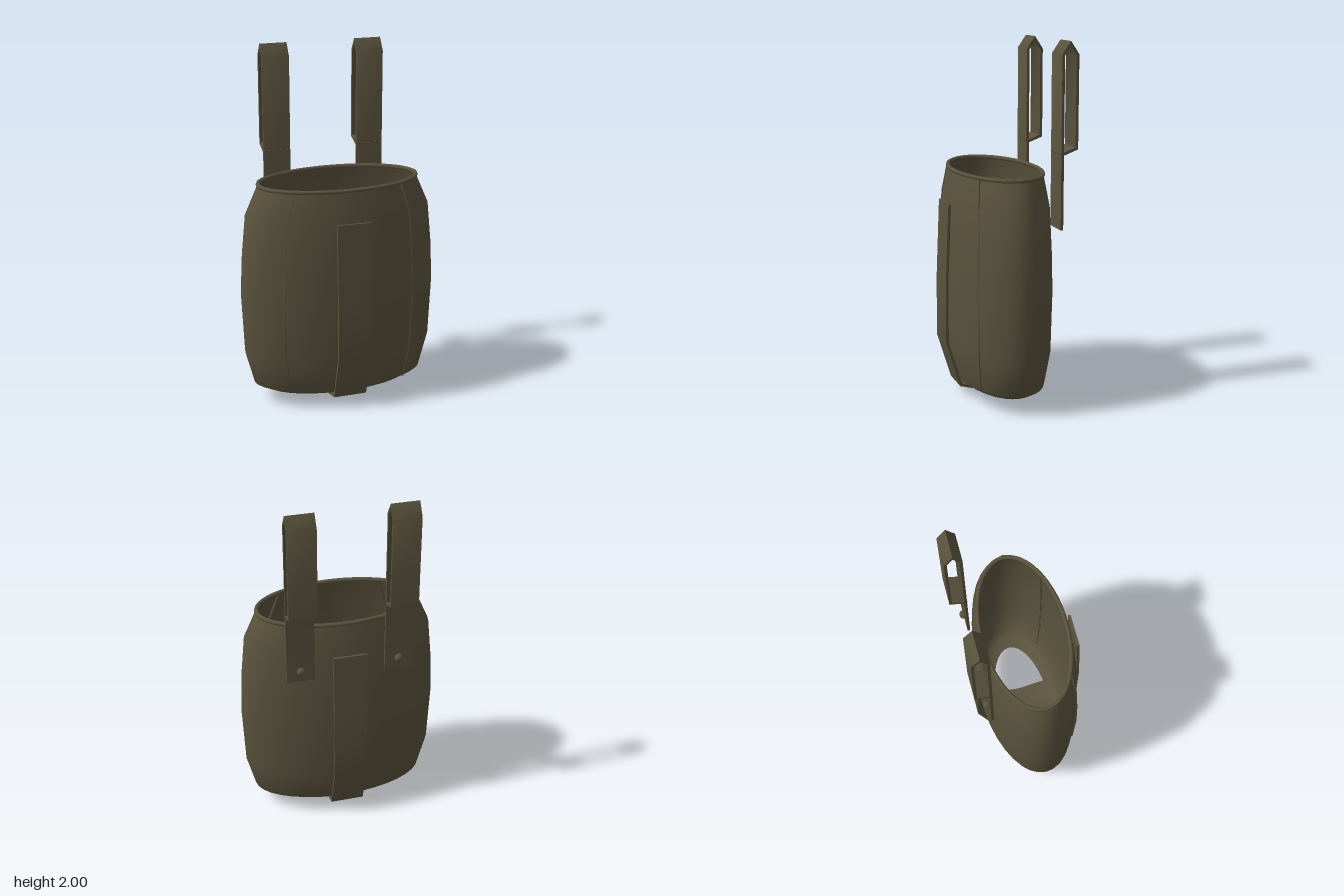
import * as THREE from 'three';
import { toCreasedNormals } from 'three/addons/utils/BufferGeometryUtils.js';

const CZ = 0.02; // depth centre of the oval pouch

// Oval sections: [height, half width, half depth]
const PROFILE = [
  [0.06, 0.367, 0.162], [0.075, 0.43, 0.205], [0.11, 0.5, 0.243], [0.3, 0.55, 0.273],
  [0.65, 0.565, 0.28], [0.88, 0.553, 0.275], [1.11, 0.53, 0.265], [1.28, 0.455, 0.238],
];

function meshOf(name, geometry, material) {
  const m = new THREE.Mesh(geometry, material);
  m.name = name;
  return m;
}

// Open oval shell lofted through the sections
function shellGeometry() {
  const N = 36, pos = [], idx = [];
  for (const [y, rx, rz] of PROFILE)
    for (let i = 0; i < N; i++) {
      const a = (i / N) * Math.PI * 2;
      pos.push(rx * Math.cos(a), y, CZ + rz * Math.sin(a));
    }
  for (let r = 0; r < PROFILE.length - 1; r++)
    for (let i = 0; i < N; i++) {
      const a = r * N + i, b = r * N + ((i + 1) % N);
      idx.push(a, a + N, b, b, a + N, b + N);
    }
  const g = new THREE.BufferGeometry();
  g.setAttribute('position', new THREE.Float32BufferAttribute(pos, 3));
  g.setIndex(idx);
  g.computeVertexNormals();
  return g;
}

// Strap of even thickness following a side path of [z, y] points, extruded across x
function strapGeometry(path, width, thickness) {
  const p = path.map(([z, y]) => new THREE.Vector2(z, y));
  const normal = (a, b) => new THREE.Vector2(a.y - b.y, b.x - a.x).normalize();
  const left = [], right = [];
  p.forEach((q, i) => {
    const n1 = normal(p[Math.max(i - 1, 0)], p[Math.max(i, 1)]);
    const n2 = i < p.length - 1 ? normal(q, p[i + 1]) : n1;
    const m = n1.clone().add(n2).normalize();
    m.multiplyScalar(thickness / 2 / m.dot(n1));
    left.push(q.clone().add(m));
    right.unshift(q.clone().sub(m));
  });
  const g = new THREE.ExtrudeGeometry(new THREE.Shape([...left, ...right]), { depth: width, bevelEnabled: false });
  g.translate(0, 0, -width / 2);
  g.rotateY(-Math.PI / 2);
  return toCreasedNormals(g, 0.9);
}

// Raised seam: thin fin that follows the shell at one angle
function seamGeometry(angle) {
  const pos = [], idx = [];
  const c = Math.cos(angle), s = Math.sin(angle);
  const rows = PROFILE.slice(2);
  rows.forEach(([y, rx, rz], i) => {
    for (const [out, side] of [[-0.01, -0.004], [0.012, 0], [-0.01, 0.004]])
      pos.push(rx * c + out * Math.sign(c) * 0.8 - side * s, y, CZ + rz * s + out * 0.6 + side * c);
    if (i) {
      const a = (i - 1) * 3;
      for (const k of [a, a + 1]) idx.push(k, k + 3, k + 1, k + 1, k + 3, k + 4);
    }
  });
  const g = new THREE.BufferGeometry();
  g.setAttribute('position', new THREE.Float32BufferAttribute(pos, 3));
  g.setIndex(idx);
  g.computeVertexNormals();
  return g;
}

export function createModel() {
  const model = new THREE.Group();
  model.name = 'pouch';
  const canvas = new THREE.MeshStandardMaterial({ color: 0x59523c, side: THREE.DoubleSide });
  canvas.name = 'olive canvas';

  model.add(meshOf('pouchBody', shellGeometry(), canvas));

  // Rolled rim around the mouth
  const loop = [];
  for (let i = 0; i < 36; i++) {
    const a = (i / 36) * Math.PI * 2;
    loop.push(new THREE.Vector3(0.453 * Math.cos(a), 1.282, CZ + 0.235 * Math.sin(a)));
  }
  const rimCurve = new THREE.CatmullRomCurve3(loop, true);
  model.add(meshOf('rim', new THREE.TubeGeometry(rimCurve, 72, 0.012, 8, true), canvas));

  // Overlap where the rim cord meets
  const overlap = meshOf('rimOverlap', new THREE.SphereGeometry(0.014, 10, 8), canvas);
  overlap.scale.set(1, 0.9, 2);
  overlap.position.set(0.453, 1.282, CZ);
  model.add(overlap);

  // Front seams
  const seamAngle = Math.acos(0.66);
  model.add(meshOf('leftSeam', seamGeometry(seamAngle), canvas));
  model.add(meshOf('rightSeam', seamGeometry(Math.PI - seamAngle), canvas));

  // Strap running down the front, under the base and up the back
  const wrap = [[0.308, 1.11], [0.327, 0.65], [0.327, 0.32], [0.248, 0.066], [0.02, 0.009],
    [-0.208, 0.066], [-0.285, 0.32], [-0.278, 0.65], [-0.262, 1.1]];
  model.add(meshOf('wrapStrap', strapGeometry(wrap, 0.19, 0.015), canvas));

  // Two folded hanging loops with rivets at the back
  const fold = [[-0.25, 0.98], [-0.25, 1.925], [-0.291, 1.985], [-0.331, 1.925], [-0.331, 1.425], [-0.243, 1.392]];
  for (const [side, x] of [['left', 0.275], ['right', -0.275]]) {
    const hanger = new THREE.Group();
    hanger.name = side + 'Hanger';
    hanger.position.x = x;
    hanger.add(meshOf('hangingLoop', strapGeometry(fold, 0.155, 0.015), canvas));
    const rivet = meshOf('rivet', new THREE.SphereGeometry(0.024, 14, 10), canvas);
    rivet.scale.z = 0.9;
    rivet.position.set(0, 1.045, -0.262);
    hanger.add(rivet);
    model.add(hanger);
  }
  return model;
}
